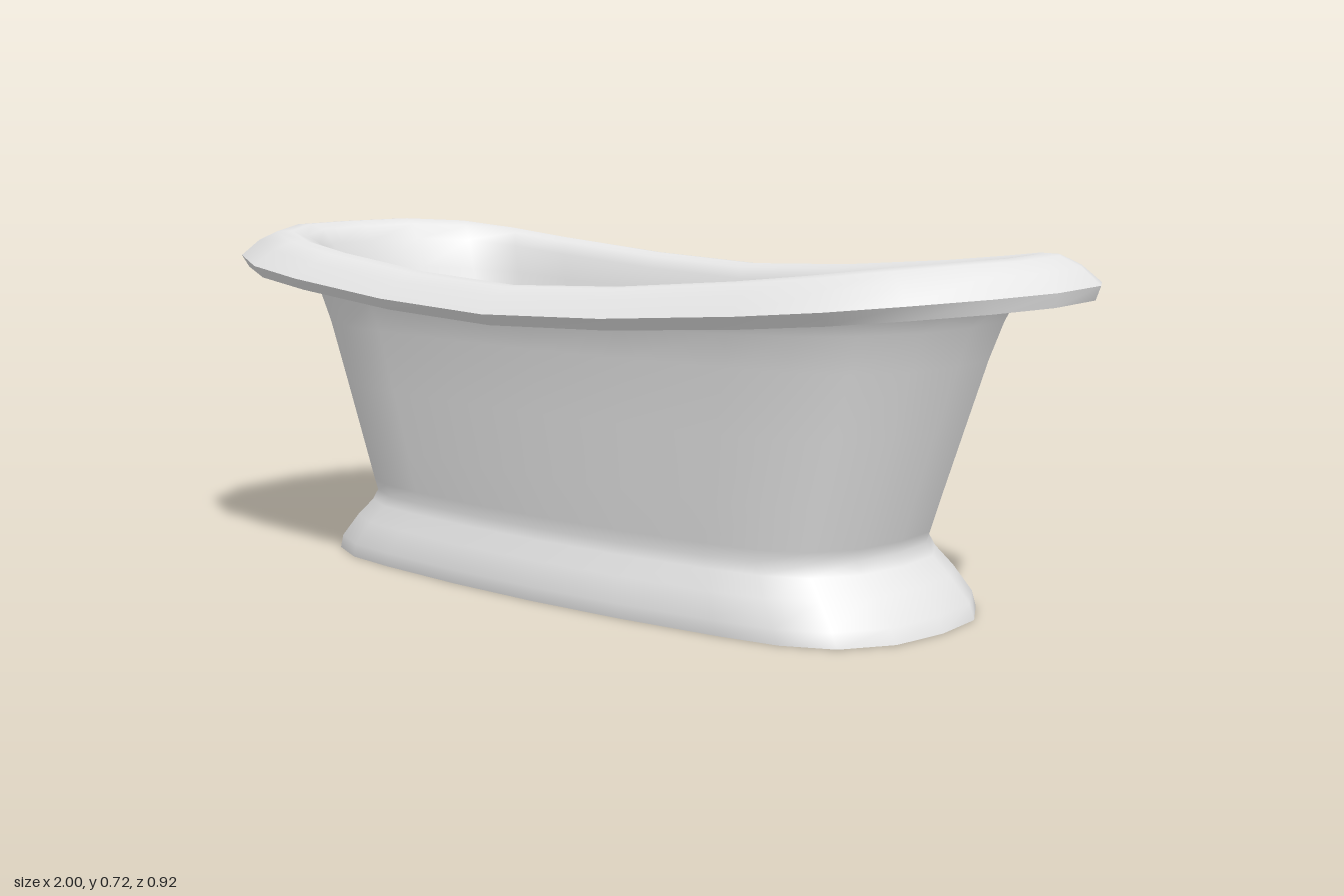
import * as THREE from 'three';

// One quarter of the bath outline, as fractions of half length and half width
const QUARTER = [[1, 0], [0.98, 0.4], [0.9, 0.71], [0.77, 0.86], [0.6, 0.92], [0.3, 0.98], [0, 1]];

// Full outline, mirrored twice, running from +x towards -z
function outline() {
  const half = [...QUARTER, ...QUARTER.slice(0, -1).reverse().map(([x, z]) => [-x, z])];
  return [...half, ...half.slice(1, -1).reverse().map(([x, z]) => [x, -z])]
    .map(([x, z]) => [x, -z]);
}

// Skin through rings of [half length, half width, height, rise at the ends]
function loft(name, rings, material) {
  const loop = outline();
  const n = loop.length;
  const positions = [];
  const index = [];
  for (const [hx, hz, y, rise = 0] of rings) {
    for (const [u, w] of loop) {
      const lift = rise * Math.min(1, (Math.abs(u) / 0.96) ** 1.6);
      positions.push(u * hx, y + lift, w * hz);
    }
  }
  for (let r = 0; r < rings.length - 1; r++) {
    for (let i = 0; i < n; i++) {
      const a = r * n + i;
      const b = r * n + (i + 1) % n;
      index.push(a, b, b + n, a, b + n, a + n);
    }
  }
  const geometry = new THREE.BufferGeometry();
  geometry.setAttribute('position', new THREE.Float32BufferAttribute(positions, 3));
  geometry.setIndex(index);
  geometry.computeVertexNormals();
  const mesh = new THREE.Mesh(geometry, material);
  mesh.name = name;
  return mesh;
}

export function createModel() {
  const group = new THREE.Group();
  group.name = 'bathtub';
  const enamel = new THREE.MeshStandardMaterial({ color: 0xe6e6e6, side: THREE.DoubleSide });
  enamel.name = 'enamel';

  // Hollow flared plinth and outer wall, curling out under the rim
  group.add(loft('outerShell', [
    [0.77, 0.325, 0], [0.757, 0.329, 0.03], [0.715, 0.311, 0.08],
    [0.678, 0.29, 0.117], [0.663, 0.285, 0.14], [0.672, 0.288, 0.165],
    [0.7, 0.298, 0.25], [0.745, 0.311, 0.38], [0.79, 0.325, 0.51],
    [0.82, 0.338, 0.565, 0.02], [0.845, 0.352, 0.592, 0.04], [0.88, 0.375, 0.602, 0.05],
    [0.93, 0.402, 0.595, 0.06], [0.994, 0.438, 0.567, 0.066],
  ], enamel));

  // Narrow edge of the rim
  group.add(loft('rimEdge', [[0.994, 0.438, 0.567, 0.066], [1, 0.46, 0.59, 0.07]], enamel));

  // Rolled rim running down into the gently dished basin, which closes the hollow
  group.add(loft('rimAndBasin', [
    [1, 0.46, 0.59, 0.07], [0.965, 0.425, 0.622, 0.072],
    [0.925, 0.395, 0.639, 0.075], [0.89, 0.37, 0.641, 0.075], [0.855, 0.345, 0.633, 0.072],
    [0.832, 0.328, 0.61, 0.062], [0.808, 0.314, 0.565, 0.04], [0.78, 0.3, 0.5, 0.015],
    [0.738, 0.281, 0.4], [0.69, 0.26, 0.29], [0.66, 0.244, 0.235],
    [0.635, 0.228, 0.21], [0.6, 0.21, 0.2], [0.5, 0.17, 0.19], [0.3, 0.1, 0.182], [0, 0, 0.18],
  ], enamel));

  // Overflow cover on the back wall
  const overflow = new THREE.Mesh(new THREE.SphereGeometry(0.032, 20, 12), enamel);
  overflow.name = 'overflowCover';
  overflow.scale.z = 0.35;
  overflow.position.set(0, 0.415, -0.277);
  overflow.rotation.x = -0.15;
  group.add(overflow);

  // Drain plug with a small cross bar
  const drain = new THREE.Group();
  drain.name = 'drain';
  const plug = new THREE.Mesh(new THREE.CylinderGeometry(0.018, 0.021, 0.01, 20), enamel);
  plug.name = 'drainPlug';
  const bar = new THREE.Mesh(new THREE.BoxGeometry(0.052, 0.006, 0.008), enamel);
  bar.name = 'drainBar';
  drain.add(plug, bar);
  drain.position.y = 0.186;
  group.add(drain);

  return group;
}
